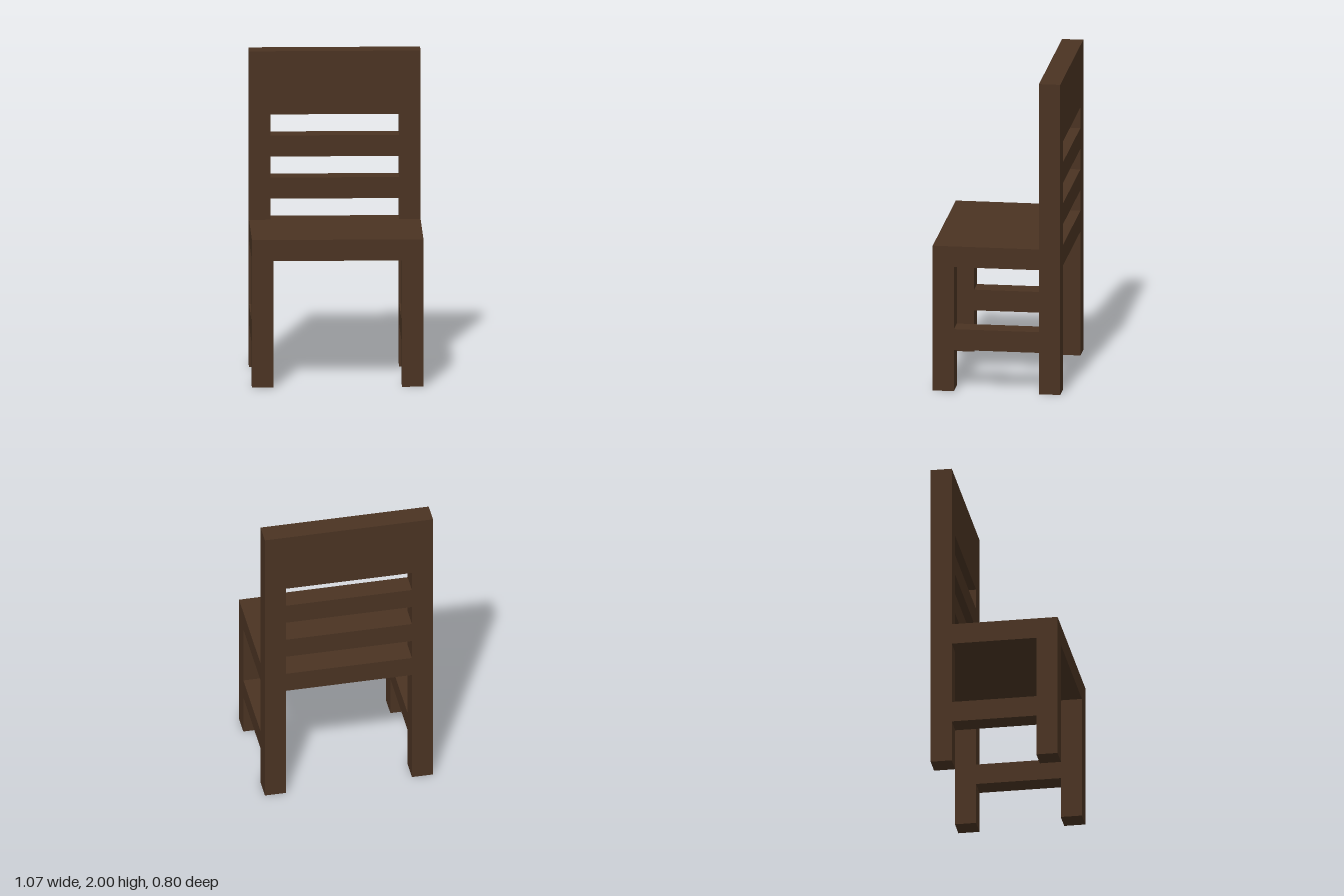
import * as THREE from 'three';

// Everything sits on a grid of fifteen units to the full height.
const U = 2 / 15;

export function createModel() {
  const chair = new THREE.Group();
  chair.name = 'chair';
  const wood = new THREE.MeshStandardMaterial({ color: 0x4a3322 });
  wood.name = 'darkWood';

  const add = (name, geometry, x, y, z) => {
    const mesh = new THREE.Mesh(geometry, wood);
    mesh.name = name;
    mesh.position.set(x * U, y * U, z * U);
    chair.add(mesh);
  };
  const box = (w, h, d) => new THREE.BoxGeometry(w * U, h * U, d * U);
  const points = (list) => list.map(([x, y]) => new THREE.Vector2(x * U, y * U));

  // Back frame: rear legs, posts, slats and headboard cut from one board
  const outline = new THREE.Shape(points([
    [-4, 0], [-3, 0], [-3, 6], [3, 6], [3, 0], [4, 0], [4, 15], [-4, 15],
  ]));
  for (const y of [7, 9, 11]) {
    outline.holes.push(new THREE.Path(points([
      [-3, y], [-3, y + 1], [3, y + 1], [3, y],
    ])));
  }
  const back = new THREE.ExtrudeGeometry(outline, { depth: U, bevelEnabled: false });
  add('backFrame', back, 0, 0, -3);

  // Seat slab, meeting the front of the back frame
  add('seat', box(8, 1, 5), 0, 6.5, 0.5);

  // Front legs and side stretchers
  for (const [side, s] of [['left', 1], ['right', -1]]) {
    add(side + 'FrontLeg', box(1, 6, 1), s * 3.5, 3, 2.5);
    add(side + 'Stretcher', box(1, 1, 4), s * 3.5, 2.5, 0);
  }
  return chair;
}
